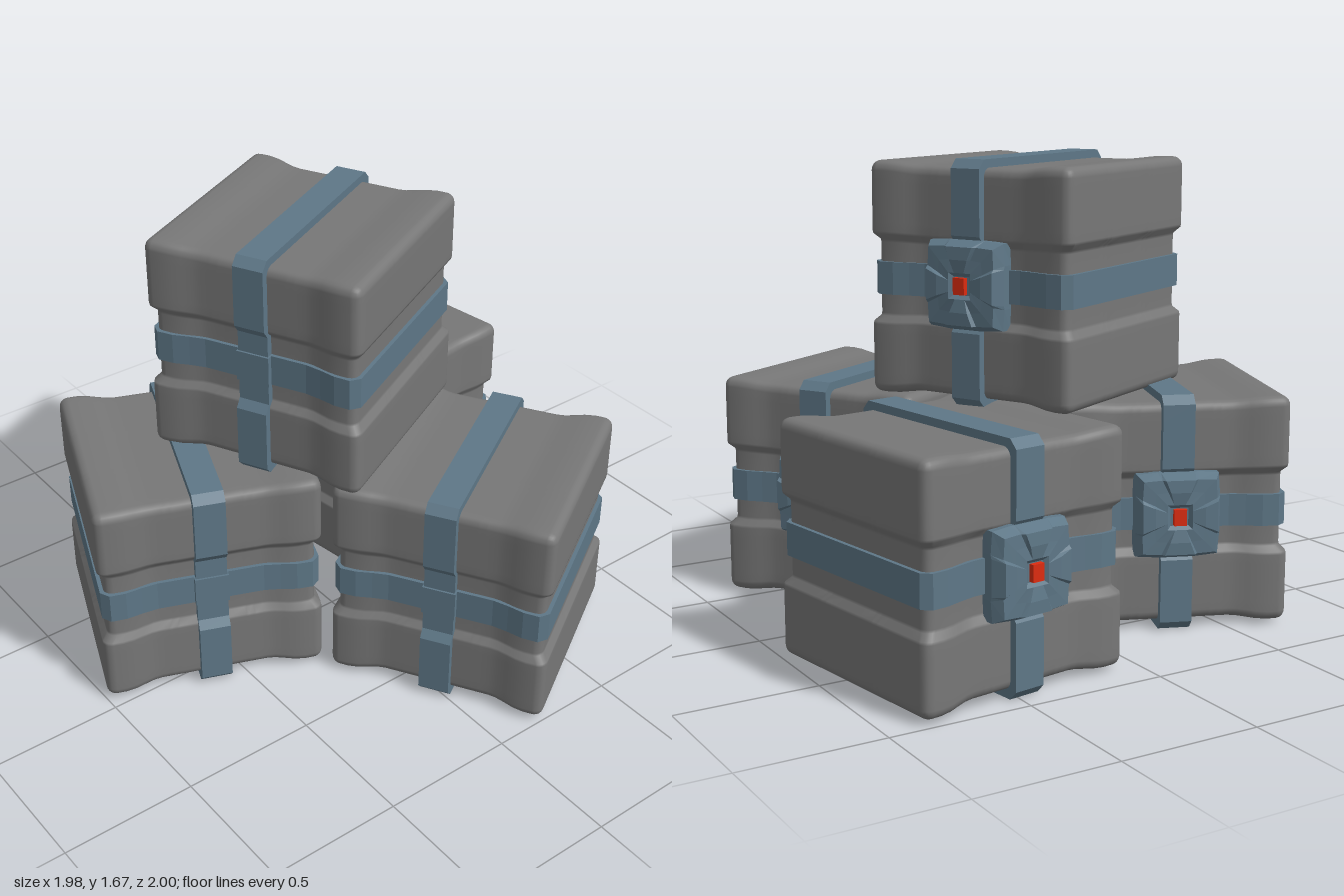
import * as THREE from 'three';
import { mergeVertices } from 'three/addons/utils/BufferGeometryUtils.js';

const H = 0.41; // half size of one pack
const R = 0.035; // edge rounding
const clothMat = new THREE.MeshStandardMaterial({ color: 0x777777 });
const strapMat = new THREE.MeshStandardMaterial({ color: 0x5e7787 });
const redMat = new THREE.MeshStandardMaterial({ color: 0xdd2c10 });

// Presses the strap grooves into a point of the pack
function warp(p) {
  const belt = 0.022 * (1 - THREE.MathUtils.smoothstep(Math.abs(p.y), 0.13, 0.16));
  const mid = 1 - THREE.MathUtils.smoothstep(Math.abs(p.x), 0.2, 0.34);
  return p.set(
    p.x * (1 - belt / H),
    p.y * (1 - 0.014 * mid / H),
    p.z * (1 - (belt + 0.026 * mid) / H)
  );
}

// Soft rounded cube, subdivided finely where the grooves start
function bodyGeometry() {
  const half = [0.06, 0.125, 0.135, 0.155, 0.165, 0.2, 0.23, 0.265, 0.3, 0.34, 0.375, 0.385, 0.398, H];
  const stops = [...half.map(v => -v).reverse(), 0, ...half];
  const n = stops.length - 1;
  let geo = new THREE.BoxGeometry(1, 1, 1, n, n, n);
  geo.deleteAttribute('uv');
  geo.deleteAttribute('normal');
  const pos = geo.attributes.position;
  const p = new THREE.Vector3(), core = new THREE.Vector3();
  const lim = new THREE.Vector3().setScalar(H - R);
  const low = lim.clone().negate();
  for (let i = 0; i < pos.count; i++) {
    p.fromBufferAttribute(pos, i);
    p.set(...p.toArray().map(v => stops[Math.round((v + 0.5) * n)]));
    core.copy(p).clamp(low, lim);
    p.sub(core).setLength(R).add(core);
    warp(p);
    pos.setXYZ(i, p.x, p.y, p.z);
  }
  geo = mergeVertices(geo, 1e-5);
  geo.computeVertexNormals();
  return geo;
}

// Closed band around the pack; toPoint lifts the flat loop into pack space
function strapGeometry(thick, toPoint, toFlat) {
  const side = [-0.38, -0.32, -0.26, -0.2, -0.16, -0.13, 0.13, 0.16, 0.2, 0.26, 0.32, 0.38];
  const loop = [];
  for (let k = 0; k < 4; k++) {
    for (const s of side) {
      const c = new THREE.Vector2(H, s).rotateAround(new THREE.Vector2(), k * Math.PI / 2);
      loop.push(toFlat(warp(toPoint(c))));
    }
  }
  const scaled = f => loop.map(v => v.clone().multiplyScalar(f));
  const shape = new THREE.Shape(scaled(1 + thick / H));
  shape.holes.push(new THREE.Path(scaled(0.96)));
  const width = 0.115;
  return new THREE.ExtrudeGeometry(shape, { depth: width, bevelEnabled: false }).translate(0, 0, -width / 2);
}

// Faceted square clasp made of stepped rings, sunk in the middle
function buckleGeometry() {
  // half size, height, extra height of the middle pieces, corner pull-in
  const rings = [
    [0.152, 0.36, 0, 0.98],
    [0.154, 0.405, 0.004, 0.96],
    [0.134, 0.444, 0.012, 0.97],
    [0.09, 0.446, 0.012, 0.95],
    [0.045, 0.45, 0, 1],
    [0.032, 0.436, 0, 1],
    [0.001, 0.436, 0, 1]
  ].map(([h, z, lift, pull]) => {
    const pts = [];
    for (let k = 0; k < 4; k++) {
      for (const s of [-1, -0.48, -0.4, 0.4, 0.48]) {
        const f = s === -1 ? pull : 1;
        const v = new THREE.Vector2(h * f, s * h * f).rotateAround(new THREE.Vector2(), k * Math.PI / 2);
        pts.push([v.x, v.y, z + (Math.abs(s) > 0.4 ? 0 : lift)]);
      }
    }
    return pts;
  });
  const verts = [];
  const count = rings[0].length;
  for (let r = 0; r < rings.length - 1; r++) {
    for (let i = 0; i < count; i++) {
      const j = (i + 1) % count;
      const [a, b, c, d] = [rings[r][i], rings[r][j], rings[r + 1][j], rings[r + 1][i]];
      verts.push(...a, ...b, ...c, ...a, ...c, ...d);
    }
  }
  const geo = new THREE.BufferGeometry();
  geo.setAttribute('position', new THREE.Float32BufferAttribute(verts, 3));
  geo.computeVertexNormals();
  return geo;
}

export function createModel() {
  const model = new THREE.Group();
  model.name = 'packStack';

  const parts = [
    ['packBody', bodyGeometry(), clothMat],
    ['verticalStrap', strapGeometry(0.03,
      c => new THREE.Vector3(0, c.y, c.x), p => new THREE.Vector2(p.z, p.y)).rotateY(Math.PI / 2), strapMat],
    ['horizontalStrap', strapGeometry(0.015,
      c => new THREE.Vector3(c.x, 0, c.y), p => new THREE.Vector2(p.x, p.z)).rotateX(Math.PI / 2), strapMat],
    ['strapCrossing', new THREE.BoxGeometry(0.125, 0.115, 0.04).translate(0, 0, -0.376), strapMat],
    ['buckle', buckleGeometry(), strapMat],
    ['buckleButton', new THREE.BoxGeometry(0.045, 0.058, 0.03).translate(0, 0, 0.44), redMat]
  ];

  // name, x, base y, z, turn in degrees
  const packs = [
    ['frontPack', 0.32, 0, 0.445, 121],
    ['rightPack', -0.47, 0, -0.27, 158.3],
    ['backPack', 0.53, 0, -0.535, 188.5],
    ['topPack', -0.022, 0.82, -0.135, 116.5]
  ];
  for (const [name, x, y, z, turn] of packs) {
    const pack = new THREE.Group();
    pack.name = name;
    for (const [partName, geo, mat] of parts) {
      const mesh = new THREE.Mesh(geo, mat);
      mesh.name = partName;
      pack.add(mesh);
    }
    pack.position.set(x, y + H, z);
    pack.rotation.y = THREE.MathUtils.degToRad(turn);
    model.add(pack);
  }
  return model;
}
